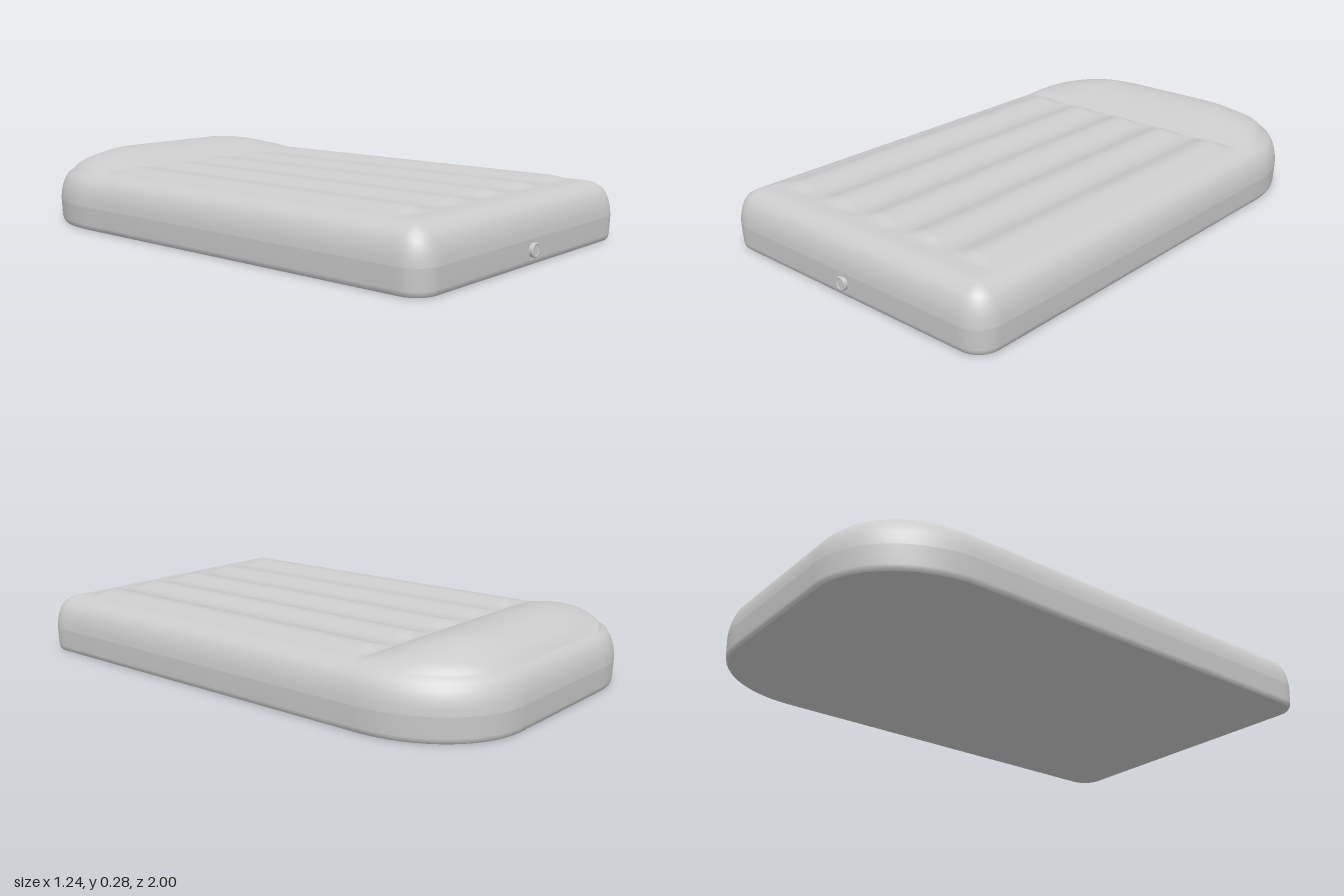
import * as THREE from 'three';
import { mergeVertices } from 'three/addons/utils/BufferGeometryUtils.js';

const HALF = 0.62, BACK = -1, FRONT = 0.987;   // outline limits
const BACK_C = -0.6, FRONT_R = 0.09;           // corner centre and radius
const RIM = 0.05;                              // inset where the wall meets the top
const COLS = 96;

// Outline stations from back to front: [half width, z] for a given inset
function stations(d) {
  const out = [];
  const rx = 0.34 - d, rz = BACK_C - BACK - d, rf = FRONT_R - d;
  for (let i = 0; i <= 16; i++) {
    const a = (i / 16) * Math.PI / 2;
    out.push([HALF - 0.34 + rx * Math.sin(a), BACK_C - rz * Math.cos(a)]);
  }
  const straight = [-0.585, -0.57, -0.56, -0.55, -0.54, -0.53, -0.52, -0.51, -0.5, -0.48,
    -0.2, 0.1, 0.4, 0.7, 0.79, 0.8, 0.81, 0.82, 0.83, 0.84, 0.85, 0.87];
  for (const z of straight) out.push([HALF - d, z]);
  for (let i = 0; i <= 8; i++) {
    const a = (i / 8) * Math.PI / 2;
    out.push([HALF - FRONT_R + rf * Math.cos(a), FRONT - FRONT_R + rf * Math.sin(a)]);
  }
  return out;
}

// Closed loop, clockwise seen from above
function ring(d, y) {
  const s = stations(d), n = s.length, pts = [];
  for (const [w, z] of s) pts.push([w, y, z]);
  for (let j = COLS - 1; j > 0; j--) pts.push([s[n - 1][0] * (2 * j / COLS - 1), y, s[n - 1][1]]);
  for (let i = n - 1; i >= 0; i--) pts.push([-s[i][0], y, s[i][1]]);
  for (let j = 1; j < COLS; j++) pts.push([s[0][0] * (2 * j / COLS - 1), y, s[0][1]]);
  return pts;
}

function addWall(tris, profile) {
  const rings = profile.map(([d, y]) => ring(d, y));
  for (let k = 0; k + 1 < rings.length; k++) {
    const lo = rings[k], hi = rings[k + 1];
    for (let i = 0; i < lo.length; i++) {
      const j = (i + 1) % lo.length;
      tris.push(lo[i], hi[i], hi[j], lo[i], hi[j], lo[j]);
    }
  }
}

const ease = t => 1 - (1 - Math.min(Math.max(t, 0), 1)) ** 2;
const smooth = (a, b, v) => THREE.MathUtils.smoothstep(v, a, b);

// Height of the upper surface: rolled rim, raised pillow, five air ribs
function topHeight(x, z, w) {
  const side = w - Math.abs(x), back = z - (BACK + RIM), front = FRONT - RIM - z;
  let y = 0.2 + 0.017 * ease(Math.min(side, back, front) / 0.06);
  y += 0.063 * ease((-0.55 - z) / 0.22) * ease(side / 0.3) * ease(back / 0.18);
  const ends = smooth(-0.55, -0.5, z) * (1 - smooth(0.8, 0.85, z));
  for (let k = -2; k <= 2; k++) {
    const u = Math.abs(x - k * 0.215) / 0.1;
    if (u < 1) y += 0.019 * ends * Math.cos(u * Math.PI / 2) ** 2;
  }
  return y;
}

function addTop(tris) {
  const grid = stations(RIM).map(([w, z]) => {
    const row = [];
    for (let j = 0; j <= COLS; j++) {
      const x = w * (2 * j / COLS - 1);
      row.push([x, topHeight(x, z, w), z]);
    }
    return row;
  });
  for (let i = 0; i + 1 < grid.length; i++) {
    for (let j = 0; j < COLS; j++) {
      const a = grid[i][j], b = grid[i + 1][j], c = grid[i + 1][j + 1], d = grid[i][j + 1];
      tris.push(a, b, c, a, c, d);
    }
  }
}

function toGeometry(tris) {
  const g = new THREE.BufferGeometry();
  g.setAttribute('position', new THREE.Float32BufferAttribute(tris.flat(), 3));
  const merged = mergeVertices(g, 1e-5);
  merged.computeVertexNormals();
  return merged;
}

export function createModel() {
  const group = new THREE.Group();
  const material = new THREE.MeshStandardMaterial({ color: 0xcccccc });
  const add = (name, geometry) => {
    const mesh = new THREE.Mesh(geometry, material);
    mesh.name = name;
    group.add(mesh);
    return mesh;
  };

  // Upper shell: rounded wall flowing into ribs and pillow
  const upper = [];
  addWall(upper, [[0, 0.09], [0.002, 0.115], [0.007, 0.14], [0.016, 0.165], [0.03, 0.187], [RIM, 0.2]]);
  addTop(upper);
  add('upperShell', toGeometry(upper));

  // Lower band below the seam
  const lower = [];
  addWall(lower, [[0.012, 0], [0.006, 0.008], [0.003, 0.02], [0, 0.09]]);
  add('lowerBand', toGeometry(lower));

  // Flat underside
  const base = ring(0.012, 0), under = [];
  base.forEach((p, i) => under.push([0, 0, 0], p, base[(i + 1) % base.length]));
  add('underside', toGeometry(under));

  // Air valve on the front
  const stem = add('valveStem', new THREE.CylinderGeometry(0.02, 0.026, 0.02, 24));
  stem.rotation.x = Math.PI / 2;
  stem.position.set(0, 0.053, 0.988);
  const collar = add('valveCollar', new THREE.TorusGeometry(0.021, 0.005, 8, 24));
  collar.position.set(0, 0.053, 0.995);
  return group;
}
